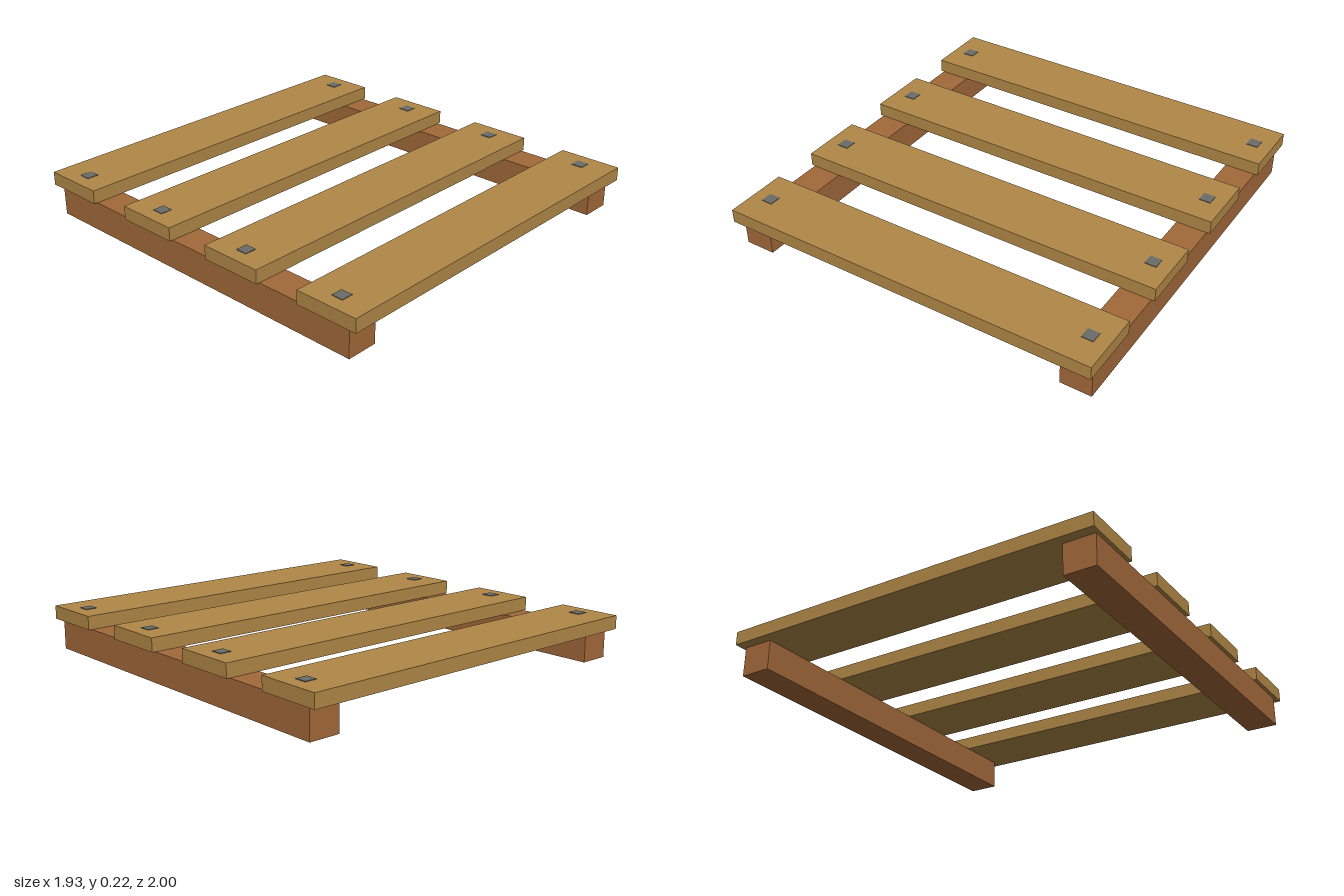
import * as THREE from 'three';

const slatWood = new THREE.MeshStandardMaterial({ name: 'lightWood', color: 0xb08746 });
const railWood = new THREE.MeshStandardMaterial({ name: 'redWood', color: 0xa3693a });
const iron = new THREE.MeshStandardMaterial({ name: 'nailGrey', color: 0x6b6b68 });

// Box standing on height y
function addBox(parent, name, material, [w, h, d], [x, y, z]) {
  const mesh = new THREE.Mesh(new THREE.BoxGeometry(w, h, d), material);
  mesh.name = name;
  mesh.position.set(x, y + h / 2, z);
  parent.add(mesh);
}

export function createModel() {
  const pallet = new THREE.Group();
  pallet.name = 'pallet';
  const railHeight = 0.148, slatHeight = 0.068, nailX = 0.872;

  // Two bearers running front to back
  for (const side of [-1, 1]) {
    addBox(pallet, side > 0 ? 'leftRail' : 'rightRail', railWood,
      [0.155, railHeight, 1.9], [side * nailX, 0, 0]);
  }

  // Four slats across, each with a square nail head over either bearer
  [-0.839, -0.28, 0.28, 0.839].forEach((z, i) => {
    const slat = new THREE.Group();
    slat.name = `slat${i + 1}`;
    addBox(slat, 'board', slatWood, [1.934, slatHeight, 0.322], [0, railHeight, z]);
    for (const side of [-1, 1]) {
      addBox(slat, 'nailHead', iron, [0.058, 0.006, 0.058],
        [side * nailX, railHeight + slatHeight - 0.003, z]);
    }
    pallet.add(slat);
  });
  return pallet;
}
